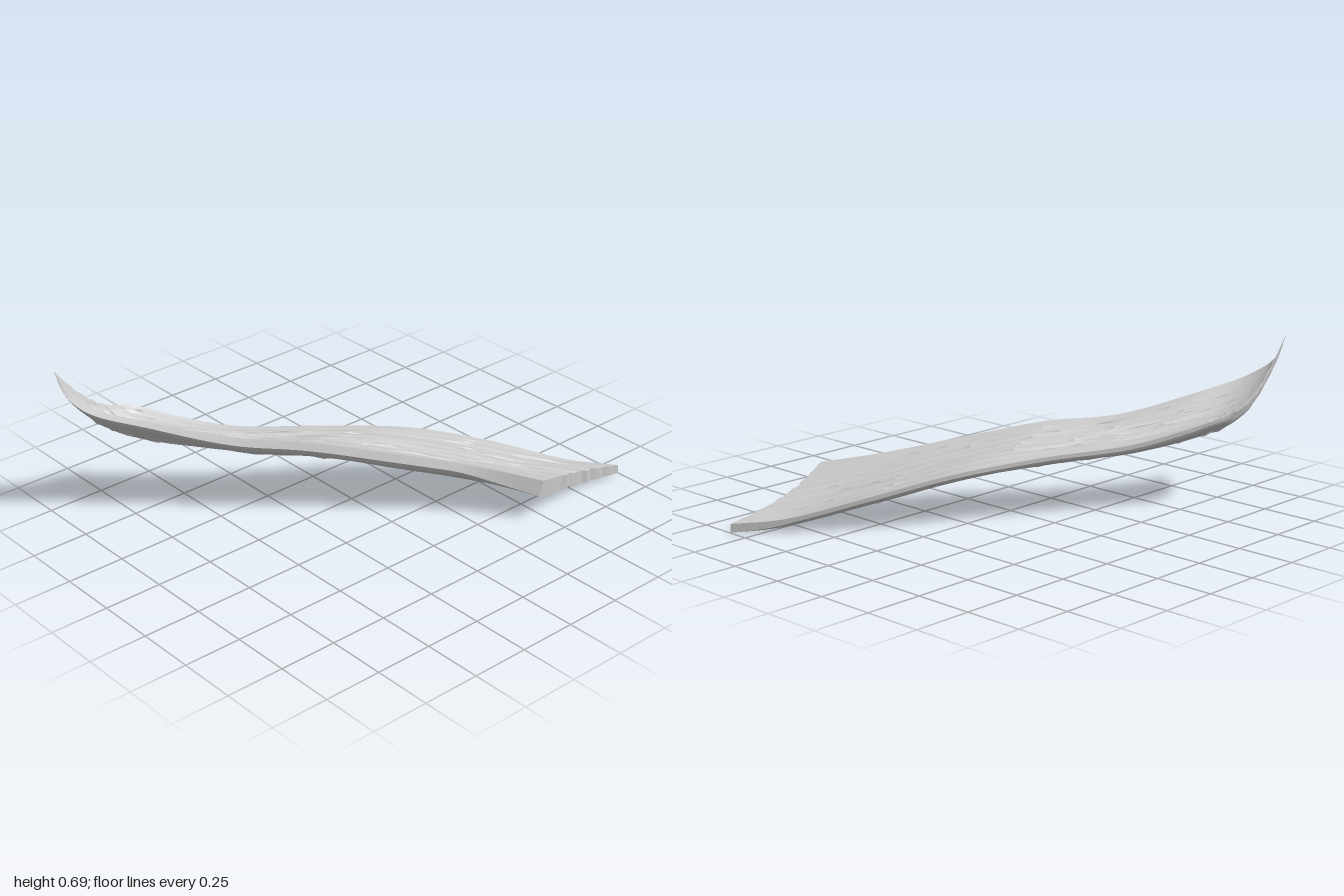
import * as THREE from 'three';

// Stations along the strip: back edge [x, y, z], front edge [x, y, z], [sag, back thickness, front thickness]
const STATIONS = [
  [[-0.645, 0.425, 0.66], [-0.645, 0.69, 1.0], [0.055, 0.025, 0.012]],
  [[-0.625, 0.4, 0.6], [-0.62, 0.595, 0.975], [0.055, 0.045, 0.03]],
  [[-0.56, 0.365, 0.52], [-0.55, 0.528, 0.92], [0.05, 0.055, 0.05]],
  [[-0.4, 0.3, 0.31], [-0.4, 0.45, 0.72], [0.032, 0.06, 0.065]],
  [[-0.2, 0.27, 0.0], [-0.2, 0.37, 0.47], [0.015, 0.055, 0.08]],
  [[0.0, 0.225, -0.33], [0.0, 0.348, 0.24], [0.003, 0.06, 0.095]],
  [[0.2, 0.148, -0.6], [0.2, 0.297, 0.0], [0.006, 0.06, 0.1]],
  [[0.44, 0.06, -0.85], [0.44, 0.23, -0.28], [0.008, 0.06, 0.095]],
  [[0.592, 0.042, -1.0], [0.643, 0.185, -0.455], [0.01, 0.047, 0.08]],
];
const [backEdge, frontEdge, shape] = [0, 1, 2].map(
  k => new THREE.CatmullRomCurve3(STATIONS.map(s => new THREE.Vector3(...s[k]))));

// Lengthwise bark ridges
const ridges = (t, u) =>
  0.003 * Math.sin(u * 41 + 3 * Math.sin(t * 8)) + 0.002 * Math.sin(u * 67 - t * 23);

// Point on the upper or lower skin; t runs along the strip, u across it
function skin(t, u, upper) {
  const b = backEdge.getPoint(t), f = frontEdge.getPoint(t), s = shape.getPoint(t);
  const arch = Math.max(0, Math.sin(Math.PI * u));
  const p = b.clone().lerp(f, u);
  p.y += (ridges(t, u) - s.x) * arch;
  // Broken, bowed end
  const end = Math.max(0, (t - 0.85) / 0.15);
  p.x -= end * arch * (0.035 + 0.006 * Math.sin(u * 50));
  if (upper) {
    p.z -= 0.022 * u ** 4 * Math.min(1, t * 4); // sloping front side
  } else {
    // Thin edges rounding into a thicker belly
    const rim = 0.3 + 0.5 * end;
    p.y -= THREE.MathUtils.lerp(s.y, s.z, u) * (rim + (1 - rim) * Math.sqrt(arch));
    p.y = Math.max(p.y, 0);
  }
  return p;
}

function geometryFrom(points, index) {
  const g = new THREE.BufferGeometry().setFromPoints(points);
  g.setIndex(index);
  g.computeVertexNormals();
  return g;
}

// Closed body lofted from cross-section loops
function barkBody(rows = 56, cols = 24) {
  const points = [], index = [], ring = 2 * (cols + 1);
  // Columns crowd towards both edges so the rims stay round
  const across = i => 0.5 * i / cols + 0.25 * (1 - Math.cos(Math.PI * i / cols));
  for (let j = 0; j <= rows; j++) {
    for (let i = 0; i <= cols; i++) points.push(skin(j / rows, across(i), true));
    for (let i = cols; i >= 0; i--) points.push(skin(j / rows, across(i), false));
  }
  for (let j = 0; j < rows; j++) {
    for (let i = 0; i < ring; i++) {
      const a = j * ring + i, b = j * ring + (i + 1) % ring;
      index.push(a, b, a + ring, b, b + ring, a + ring);
    }
  }
  // End caps
  const last = rows * ring;
  for (let i = 0; i < cols; i++) {
    const lo = ring - 1 - i;
    index.push(last + i, last + i + 1, last + lo, last + i + 1, last + lo - 1, last + lo);
    index.push(i, lo, i + 1, i + 1, lo, lo - 1);
  }
  return geometryFrom(points, index);
}

// Thin raised slivers following the grain
function splinters(count, upper, seed) {
  const rand = () => (seed = (seed * 16807) % 2147483647) / 2147483647;
  const points = [], index = [];
  for (let k = 0; k < count; k++) {
    const t = 0.12 + rand() * 0.76, u = 0.1 + rand() * 0.78;
    const len = 0.03 + rand() * 0.05, wide = 0.01 + rand() * 0.01;
    const at = (dt, du) => skin(t + dt, u + du, upper);
    const peak = at(len * 0.6, 0);
    peak.y += (upper ? 1 : -1) * (0.004 + rand() * 0.004);
    const n = points.length;
    points.push(at(0, 0), at(len * 0.5, wide), at(len, 0.004), at(len * 0.5, -wide), peak);
    for (let i = 0; i < 4; i++) {
      const a = n + i, b = n + (i + 1) % 4;
      index.push(...(upper ? [a, b, n + 4] : [b, a, n + 4]));
    }
  }
  return geometryFrom(points, index);
}

export function createModel() {
  const group = new THREE.Group();
  group.name = 'barkStrip';
  const bark = new THREE.MeshStandardMaterial({ color: 0xcccccc, flatShading: true });
  bark.name = 'pale grey bark';

  const add = (name, geometry) => {
    const mesh = new THREE.Mesh(geometry, bark);
    mesh.name = name;
    group.add(mesh);
  };
  add('barkBody', barkBody());
  add('upperSplinters', splinters(60, true, 11));
  add('lowerSplinters', splinters(40, false, 29));
  return group;
}
